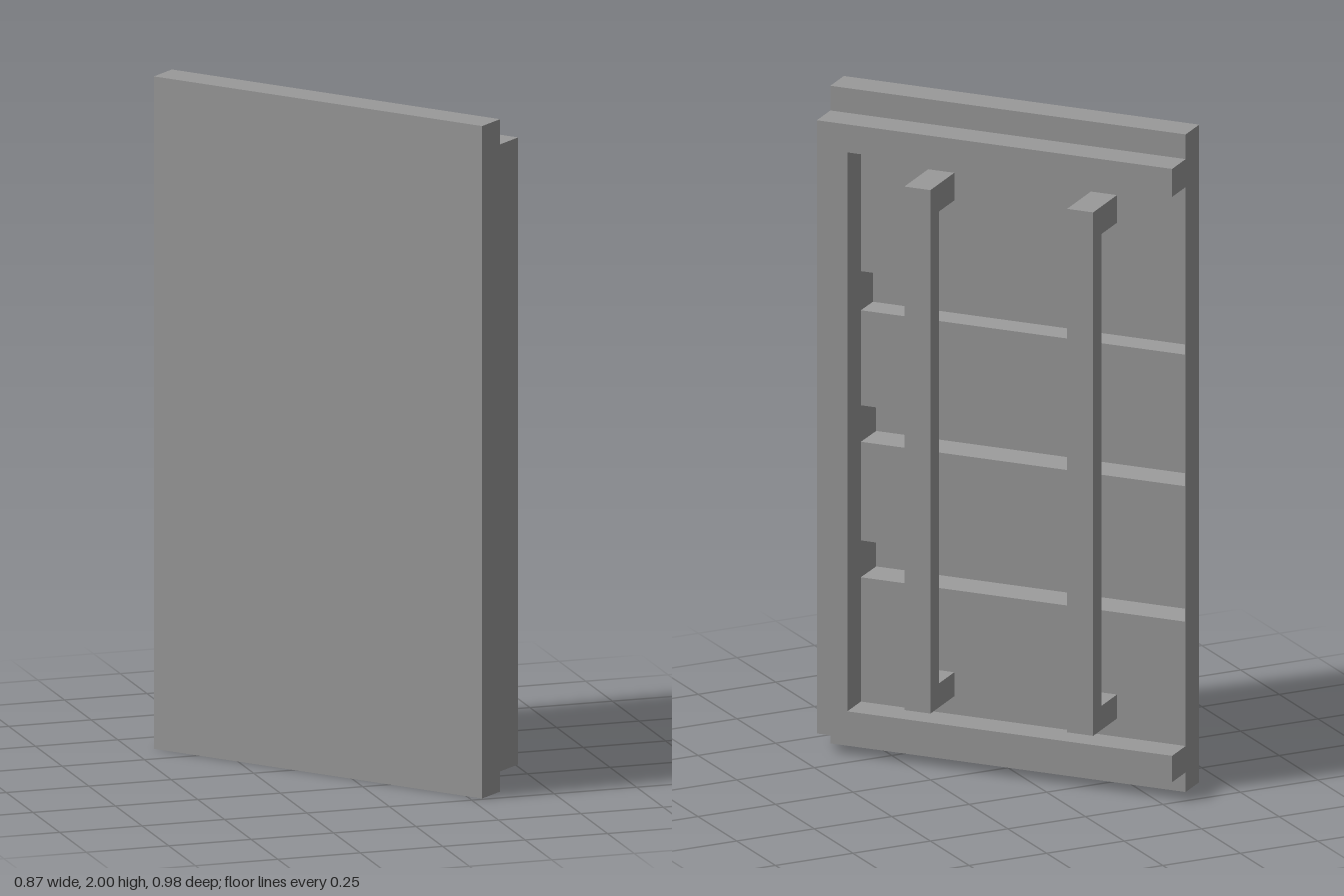
import * as THREE from 'three';

const HALF = 0.559;   // half the panel width
const T = 0.098;      // thickness of the plate and of the back frame
const STILE = 0.463;  // inner edge of the stile
const RIM = 0.557;    // open-side end of the grooves
const DEPTH = 0.07;   // depth of the grooves

export function createModel() {
  const model = new THREE.Group();
  model.name = 'doorPanel';
  const material = new THREE.MeshStandardMaterial({ color: 0x999999, flatShading: true });

  function add(name, geometry, parent = model) {
    const mesh = new THREE.Mesh(geometry, material);
    mesh.name = name;
    parent.add(mesh);
  }

  // Box given by its limits on each axis
  function box(name, x0, x1, y0, y1, z0, z1, parent) {
    const geometry = new THREE.BoxGeometry(x1 - x0, y1 - y0, z1 - z0);
    geometry.translate((x0 + x1) / 2, (y0 + y1) / 2, (z0 + z1) / 2);
    add(name, geometry, parent);
  }

  // Back layer of the plate, with three grooves that narrow towards their floor
  const grooves = [[0.518, 0.63], [0.93, 1.041], [1.33, 1.449]];
  const layer = new THREE.Shape();
  layer.moveTo(-HALF, 0).lineTo(HALF, 0).lineTo(HALF, 2).lineTo(-HALF, 2).closePath();
  for (const [y0, y1] of grooves) {
    const hole = new THREE.Path();
    hole.moveTo(-RIM, y0).lineTo(-RIM, y1).lineTo(STILE, y1).lineTo(STILE, y0).closePath();
    layer.holes.push(hole);
  }
  const layerGeometry = new THREE.ExtrudeGeometry(layer, { depth: DEPTH, bevelEnabled: false });
  const p = layerGeometry.attributes.position;
  for (let i = 0; i < p.count; i++) {
    const x = p.getX(i), y = p.getY(i);
    if (p.getZ(i) < DEPTH / 2 || y < 0.1 || y > 1.9) continue;
    const [y0, y1] = grooves.find(([, top]) => y < top + 0.01);
    p.setX(i, x + (x < 0 ? 0.018 : -0.018));
    p.setY(i, y + (y < (y0 + y1) / 2 ? 0.014 : -0.014));
  }
  layerGeometry.computeVertexNormals();
  add('groovedLayer', layerGeometry);
  box('frontPlate', -HALF, HALF, 0, 2, DEPTH, T);
  // The top groove is a little shallower
  box('topGrooveFloor', -RIM + 0.014, STILE - 0.014, 1.341, 1.438, 0.055, DEPTH);

  // Back frame, open along one side
  box('bottomRail', -HALF, HALF, 0.06, 0.14, -T, 0);
  box('topRail', -HALF, HALF, 1.84, 1.925, -T, 0);
  box('stile', STILE, HALF, 0.14, 1.84, -T, 0);

  // Two upright bars standing off the plate on feet
  for (const x of [-0.302, 0.21]) {
    const bar = new THREE.Group();
    bar.name = 'uprightBar';
    const x0 = x - 0.041, x1 = x + 0.041;
    box('bar', x0, x1, 0.195, 1.787, -0.173, -0.111, bar);
    box('lowerFoot', x0, x1, 0.195, 0.268, -0.111, 0, bar);
    box('upperFoot', x0, x1, 1.703, 1.787, -0.111, 0, bar);
    model.add(bar);
  }

  // The panel stands swung open
  model.rotation.y = THREE.MathUtils.degToRad(-50);
  const root = new THREE.Group();
  root.name = 'panelAssembly';
  root.add(model);
  return root;
}
